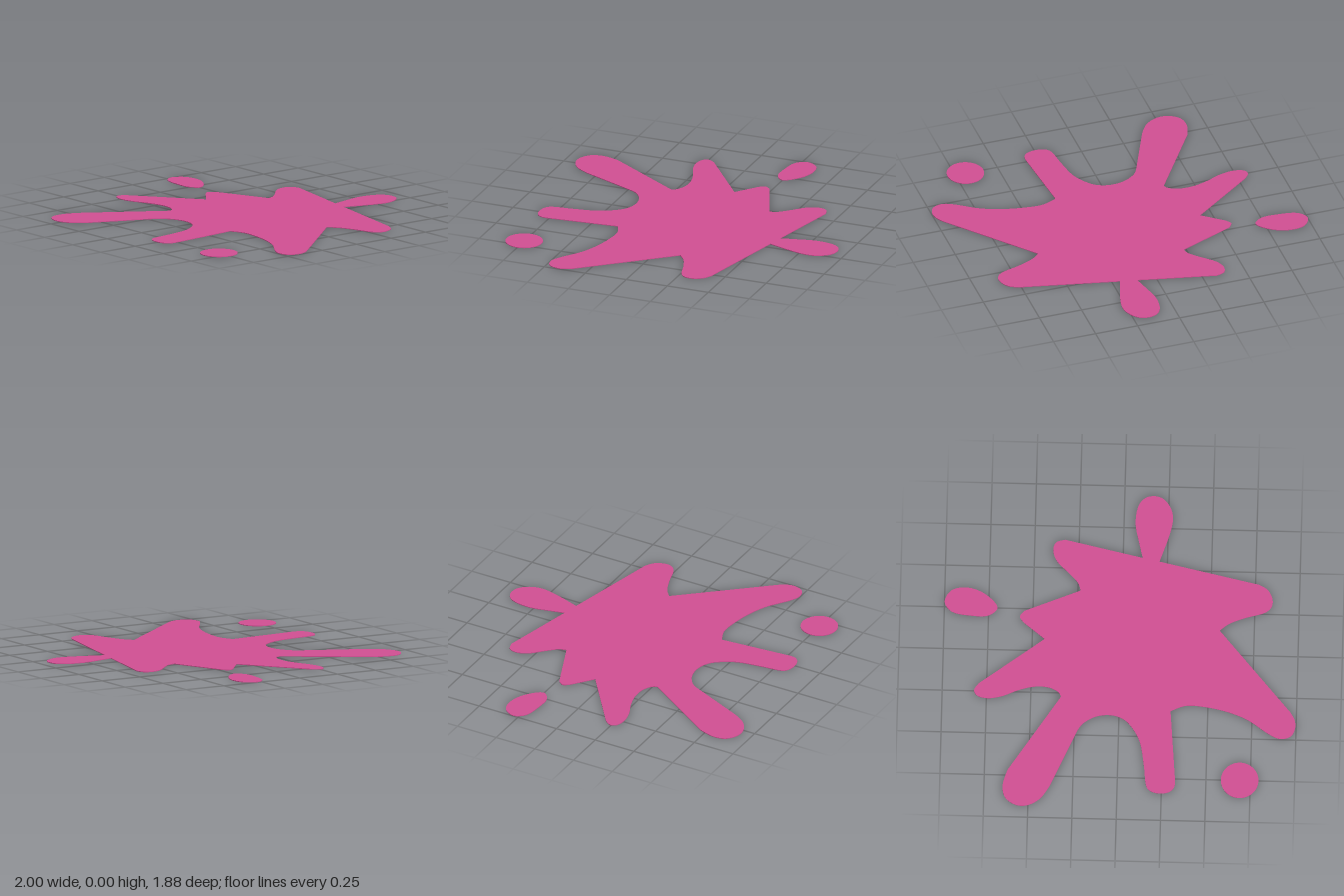
import * as THREE from 'three';

const THICKNESS = 0.004;
const material = new THREE.MeshStandardMaterial({ color: 0xd04f92 });

// Plan points are [x, z]; the shape lies in x/-z and is extruded upwards.
const toVec = ([x, z]) => new THREE.Vector2(x, -z);

function flatPart(name, shape, segments) {
  const geometry = new THREE.ExtrudeGeometry(shape, {
    depth: THICKNESS, bevelEnabled: false, curveSegments: segments,
  });
  geometry.rotateX(-Math.PI / 2);
  const mesh = new THREE.Mesh(geometry, material);
  mesh.name = name;
  return mesh;
}

// Rounded runs of the outline; straight edges join one run to the next.
const runs = [
  // narrow-necked back arm
  [[0.11, -0.57], [0.088, -0.66], [0.065, -0.77], [0.075, -0.87], [0.11, -0.925], [0.165, -0.942],
    [0.22, -0.925], [0.262, -0.87], [0.275, -0.8], [0.255, -0.7], [0.205, -0.55]],
  // back left arm
  [[0.77, -0.425], [0.82, -0.395], [0.848, -0.34], [0.842, -0.29], [0.8, -0.255], [0.7, -0.225],
    [0.61, -0.188], [0.555, -0.145]],
  // front left arm and the bay beside it
  [[0.965, 0.335], [0.99, 0.38], [0.995, 0.43], [0.97, 0.48], [0.91, 0.496], [0.84, 0.465],
    [0.73, 0.39], [0.62, 0.345], [0.5, 0.318], [0.38, 0.31], [0.29, 0.345]],
  // front arm and the round bay
  [[0.327, 0.77], [0.32, 0.805], [0.29, 0.832], [0.24, 0.84], [0.19, 0.828], [0.162, 0.79],
    [0.147, 0.67], [0.12, 0.53], [0.06, 0.43], [0, 0.388], [-0.07, 0.377], [-0.14, 0.392],
    [-0.2, 0.43], [-0.23, 0.47]],
  // long front right arm
  [[-0.38, 0.81], [-0.43, 0.885], [-0.5, 0.928], [-0.57, 0.928], [-0.63, 0.885], [-0.645, 0.81], [-0.62, 0.72]],
  // right arm
  [[-0.33, 0.275], [-0.345, 0.247], [-0.4, 0.22], [-0.48, 0.217], [-0.57, 0.24], [-0.66, 0.278],
    [-0.74, 0.293], [-0.8, 0.28], [-0.82, 0.245], [-0.795, 0.205]],
  // notch and short right arm
  [[-0.43, -0.07]],
  [[-0.55, -0.165], [-0.573, -0.2], [-0.55, -0.235]],
  // back right arm
  [[-0.235, -0.365], [-0.25, -0.41], [-0.3, -0.465], [-0.37, -0.535], [-0.395, -0.6], [-0.38, -0.65], [-0.33, -0.668]],
];

export function createModel() {
  const group = new THREE.Group();
  group.name = 'splat';

  // Main puddle
  const outline = new THREE.Shape();
  runs.forEach((run, i) => {
    const [first, ...rest] = run.map(toVec);
    if (i === 0) outline.moveTo(first.x, first.y);
    else outline.lineTo(first.x, first.y);
    if (rest.length) outline.splineThru(rest);
  });
  outline.closePath();
  group.add(flatPart('puddle', outline, 4));

  // Oval droplet
  const oval = new THREE.CatmullRomCurve3([
    [-1, -0.28], [-0.96, -0.35], [-0.87, -0.367], [-0.77, -0.33],
    [-0.7, -0.25], [-0.75, -0.203], [-0.85, -0.2], [-0.96, -0.222],
  ].map(([x, z]) => new THREE.Vector3(x, -z, 0)), true);
  const ovalShape = new THREE.Shape(oval.getPoints(32).slice(0, -1).map((p) => new THREE.Vector2(p.x, p.y)));
  group.add(flatPart('ovalDroplet', ovalShape, 1));

  // Round droplet
  const round = new THREE.Shape().absarc(0.69, -0.75, 0.106, 0, Math.PI * 2);
  group.add(flatPart('roundDroplet', round, 32));

  return group;
}
